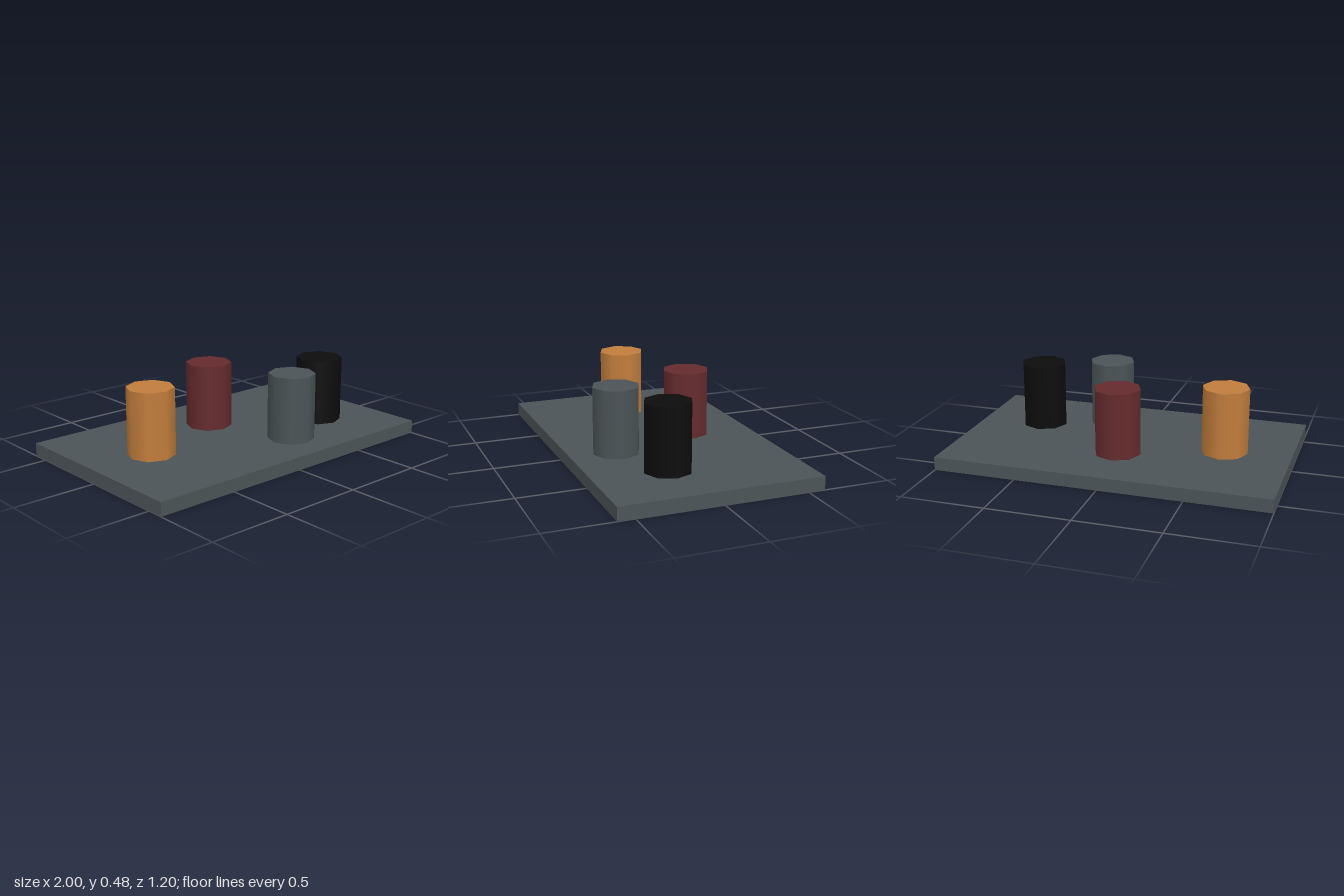
import * as THREE from 'three';

const material = (name, color) => {
  const m = new THREE.MeshStandardMaterial({ color });
  m.name = name;
  return m;
};

export function createModel() {
  const slate = material('slate grey', 0x4b5457);
  const orange = material('orange', 0xc27d3c);
  const maroon = material('maroon', 0x652b2d);
  const black = material('black', 0x0c0c0d);

  const model = new THREE.Group();
  model.name = 'pegBoard';

  // Flat base slab
  const slabHeight = 0.08;
  const base = new THREE.Mesh(new THREE.BoxGeometry(2, slabHeight, 1.2), slate);
  base.name = 'base';
  base.position.y = slabHeight / 2;
  model.add(base);

  // Eight-sided pegs with smooth sides, standing on the slab
  const pegHeight = 0.4;
  const pegGeometry = new THREE.CylinderGeometry(0.14, 0.14, pegHeight, 8);
  const pegs = [
    ['orangePeg', orange, -0.6, 0],
    ['maroonPeg', maroon, 0, -0.2],
    ['greyPeg', slate, 0.2, 0.32],
    ['blackPeg', black, 0.6, 0.16],
  ];
  for (const [name, mat, x, z] of pegs) {
    const peg = new THREE.Mesh(pegGeometry, mat);
    peg.name = name;
    peg.position.set(x, slabHeight + pegHeight / 2, z);
    model.add(peg);
  }

  return model;
}
